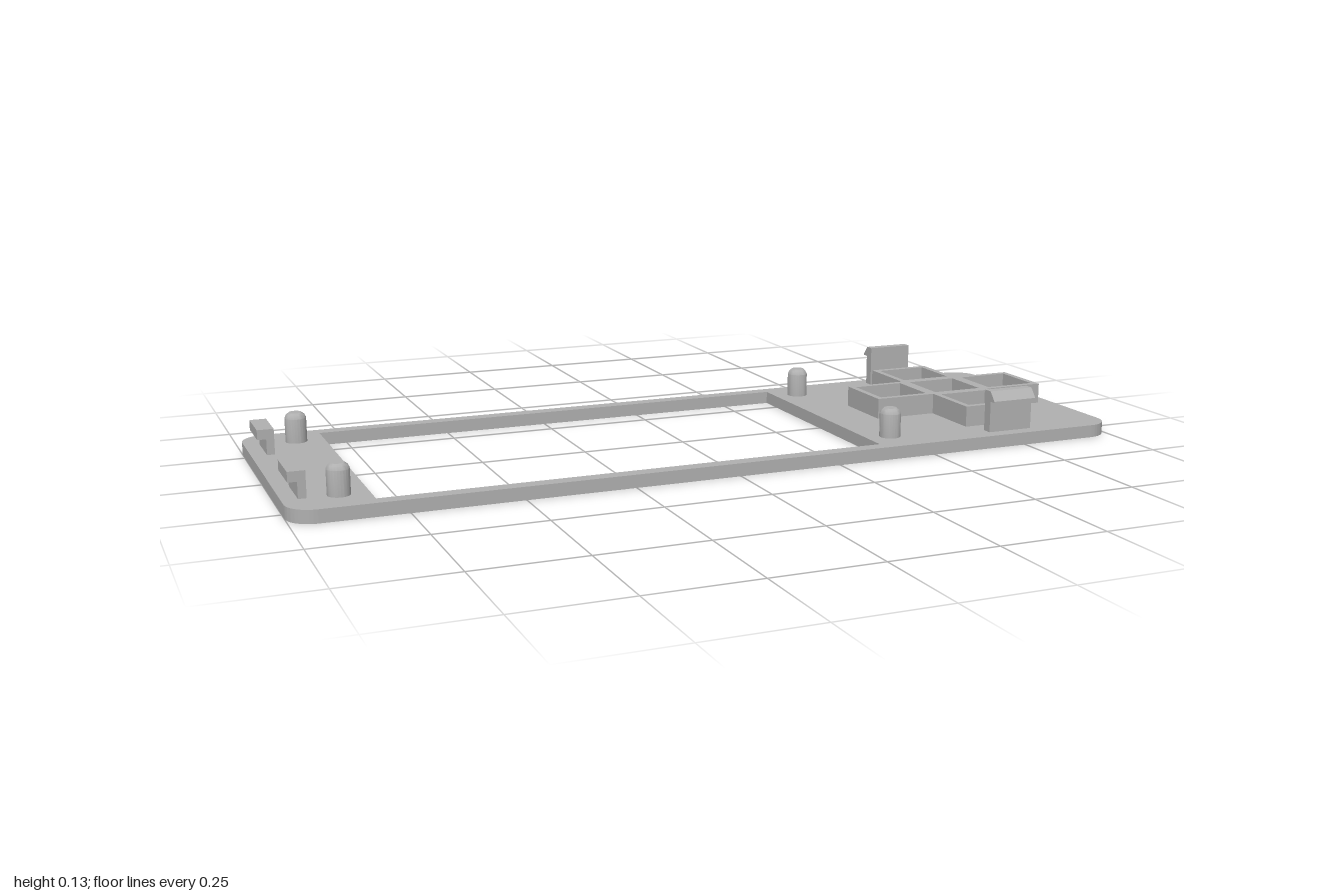
import * as THREE from 'three';
import { toCreasedNormals } from 'three/addons/utils/BufferGeometryUtils.js';

const T = 0.03; // plate thickness
const PAD_X = 0.727; // centre of the button cross
const PITCH = 0.156; // button spacing
const CELLS = [[0, 0], [PITCH, 0], [-PITCH, 0], [0, PITCH], [0, -PITCH]];

const polygon = (Type, pts) => new Type(pts.map(([x, y]) => new THREE.Vector2(x, y)));
const rect = (Type, x0, x1, y0, y1) => polygon(Type, [[x0, y0], [x1, y0], [x1, y1], [x0, y1]]);

function extrude(shape, depth) {
  const g = new THREE.ExtrudeGeometry(shape, { depth, bevelEnabled: false, curveSegments: 16 });
  return toCreasedNormals(g, 0.6);
}

export function createModel() {
  const root = new THREE.Group();
  root.name = 'faceplate';
  const grey = new THREE.MeshStandardMaterial({ color: 0xb0b0b0 });
  grey.name = 'grey plastic';
  const add = (name, geometry) => {
    const mesh = new THREE.Mesh(geometry, grey);
    mesh.name = name;
    root.add(mesh);
    return mesh;
  };

  // Rounded plate with display window and button holes
  const W = 1, D = 0.34, R = 0.06;
  const plate = new THREE.Shape();
  plate.absarc(W - R, D - R, R, 0, Math.PI / 2);
  plate.absarc(-W + R, D - R, R, Math.PI / 2, Math.PI);
  plate.absarc(-W + R, -D + R, R, Math.PI, Math.PI * 1.5);
  plate.absarc(W - R, -D + R, R, Math.PI * 1.5, Math.PI * 2);
  plate.closePath();
  plate.holes.push(rect(THREE.Path, -0.815, 0.37, -0.306, 0.306));
  for (const [x, z] of CELLS) {
    plate.holes.push(new THREE.Path().absarc(PAD_X + x, z, 0.042, 0, Math.PI * 2, true));
  }
  add('plate', extrude(plate, T).rotateX(-Math.PI / 2));

  // Cross-shaped button frame with five square wells
  const h = 0.079, a = 0.235, w = 0.064;
  const cross = polygon(THREE.Shape, [
    [h, h], [h, a], [-h, a], [-h, h], [-a, h], [-a, -h],
    [-h, -h], [-h, -a], [h, -a], [h, -h], [a, -h], [a, h],
  ]);
  for (const [x, z] of CELLS) cross.holes.push(rect(THREE.Path, x - w, x + w, z - w, z + w));
  add('buttonFrame', extrude(cross, 0.05).rotateX(-Math.PI / 2).translate(PAD_X, T, 0));

  // Locating pegs with chamfered tips
  const pegProfile = [[0.025, T], [0.025, 0.087], [0.021, 0.095], [0.015, 0.1], [0, 0.1]]
    .map(([r, y]) => new THREE.Vector2(r, y));
  const peg = toCreasedNormals(new THREE.LatheGeometry(pegProfile, 24), 0.5);
  for (const x of [-0.88, 0.43]) {
    for (const z of [-0.247, 0.247]) add('peg', peg).position.set(x, 0, z);
  }

  // Barbed clips on the long edges; profile runs outward then up
  const barb = polygon(THREE.Shape, [
    [0.282, T], [0.306, T], [0.306, 0.105], [0.322, 0.105],
    [0.322, 0.108], [0.304, 0.13], [0.282, 0.13],
  ]);
  const clip = extrude(barb, 0.115).translate(0, 0, -0.0575);
  for (const side of [1, -1]) {
    const mesh = add('sideClip', clip);
    mesh.rotation.y = -side * Math.PI / 2;
    mesh.position.x = PAD_X;
  }

  // Hooked end clips with lips pointing outward
  const lip = polygon(THREE.Shape, [
    [-0.965, T], [-0.947, T], [-0.947, 0.09], [-0.985, 0.09], [-0.985, 0.067], [-0.965, 0.067],
  ]);
  const hook = extrude(lip, 0.108).translate(0, 0, -0.054);
  for (const z of [-0.195, 0.195]) add('endHook', hook).position.z = z;

  return root;
}
